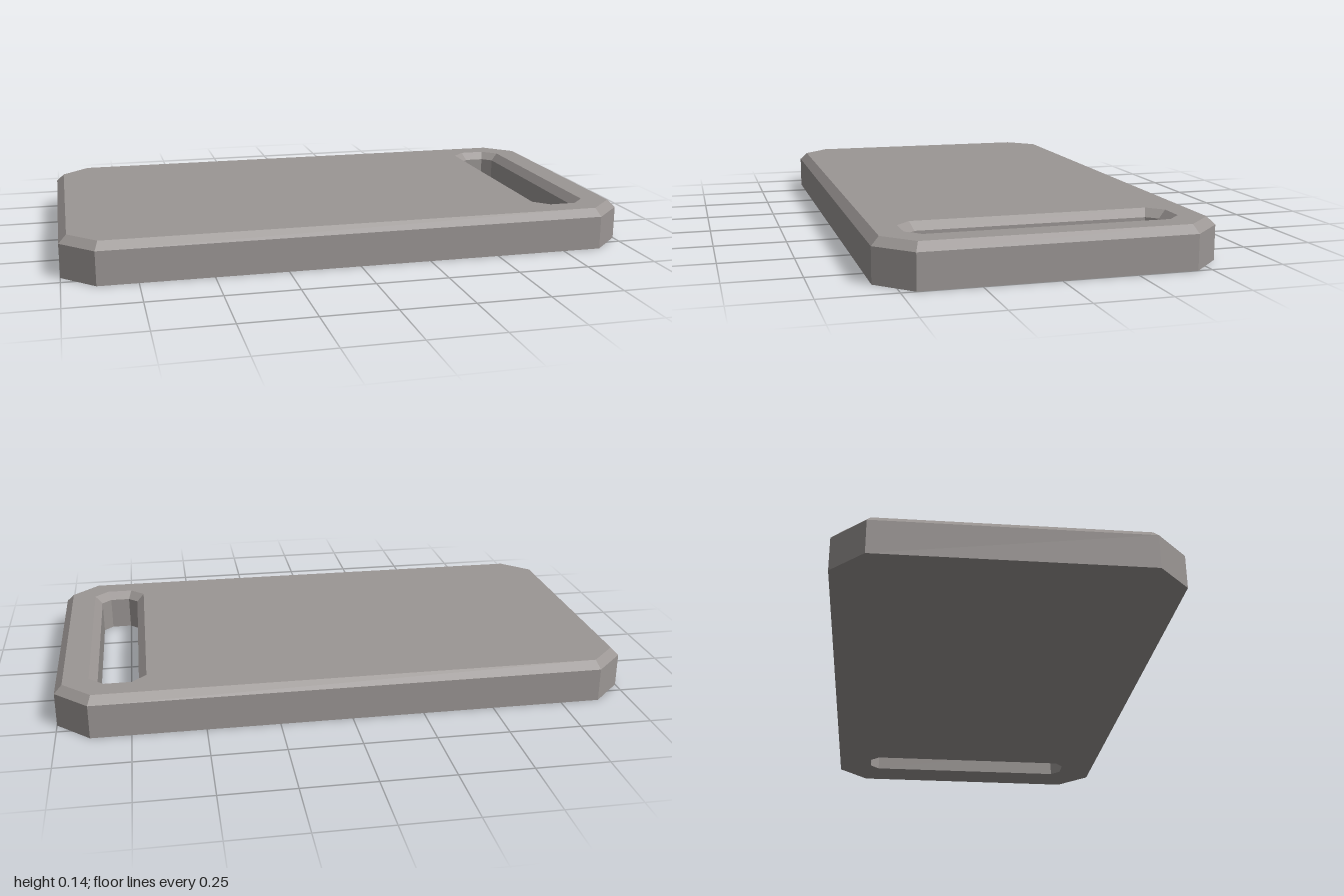
import * as THREE from 'three';
import { mergeGeometries } from 'three/addons/utils/BufferGeometryUtils.js';

const HEIGHT = 0.145, BEVEL = 0.027;
const BOARD = { cx: 0, hx: 1, hy: 0.565, cut: 0.113 };
const SLOT = { cx: 0.788, hx: 0.07, hy: 0.429, cut: 0.034 };

// Rectangle with cut corners, counter-clockwise, grown evenly by d
function octagon({ cx, hx, hy, cut }, d = 0) {
  const x = hx + d, y = hy + d, c = cut + d * (2 - Math.SQRT2);
  return [[x, -y + c], [x, y - c], [x - c, y], [-x + c, y],
    [-x, y - c], [-x, -y + c], [-x + c, -y], [x - c, -y]]
    .map(([px, py]) => new THREE.Vector2(cx + px, py));
}

// Flat-shaded band of quads through a stack of loops given as [points, height]
function band(loops, inward = false) {
  const pos = [];
  for (let k = 0; k + 1 < loops.length; k++) {
    const [a, za] = loops[k], [b, zb] = loops[k + 1];
    for (let i = 0; i < a.length; i++) {
      const j = (i + 1) % a.length;
      const [p, q] = inward ? [j, i] : [i, j];
      const lo1 = [a[p].x, a[p].y, za], lo2 = [a[q].x, a[q].y, za];
      const up1 = [b[p].x, b[p].y, zb], up2 = [b[q].x, b[q].y, zb];
      pos.push(...lo1, ...lo2, ...up2, ...lo1, ...up2, ...up1);
    }
  }
  const g = new THREE.BufferGeometry();
  g.setAttribute('position', new THREE.Float32BufferAttribute(pos, 3));
  g.computeVertexNormals();
  return g;
}

// Flat face with the slot cut out of it
function cap(outer, hole) {
  const shape = new THREE.Shape(outer);
  shape.holes.push(new THREE.Path(hole));
  const g = new THREE.ShapeGeometry(shape).toNonIndexed();
  g.deleteAttribute('uv');
  return g;
}

export function createModel() {
  const group = new THREE.Group();
  group.name = 'slottedBoard';
  const stone = new THREE.MeshStandardMaterial({ color: 0x9b9694 });
  stone.name = 'warm grey';

  const outer = octagon(BOARD), outerTop = octagon(BOARD, -BEVEL);
  const slot = octagon(SLOT), slotTop = octagon(SLOT, BEVEL);
  const shoulder = HEIGHT - BEVEL;

  const parts = {
    // Side walls with a bevelled upper edge
    rim: band([[outer, 0], [outer, shoulder], [outerTop, HEIGHT]]),
    // Handle slot walls, bevelled at the top
    handleSlot: band([[slot, 0], [slot, shoulder], [slotTop, HEIGHT]], true),
    // Top and bottom faces
    faces: mergeGeometries([
      cap(outerTop, slotTop).translate(0, 0, HEIGHT),
      cap(outer, slot).rotateX(Math.PI),
    ]),
  };
  for (const [name, geometry] of Object.entries(parts)) {
    const mesh = new THREE.Mesh(geometry.rotateX(-Math.PI / 2), stone);
    mesh.name = name;
    group.add(mesh);
  }
  return group;
}
